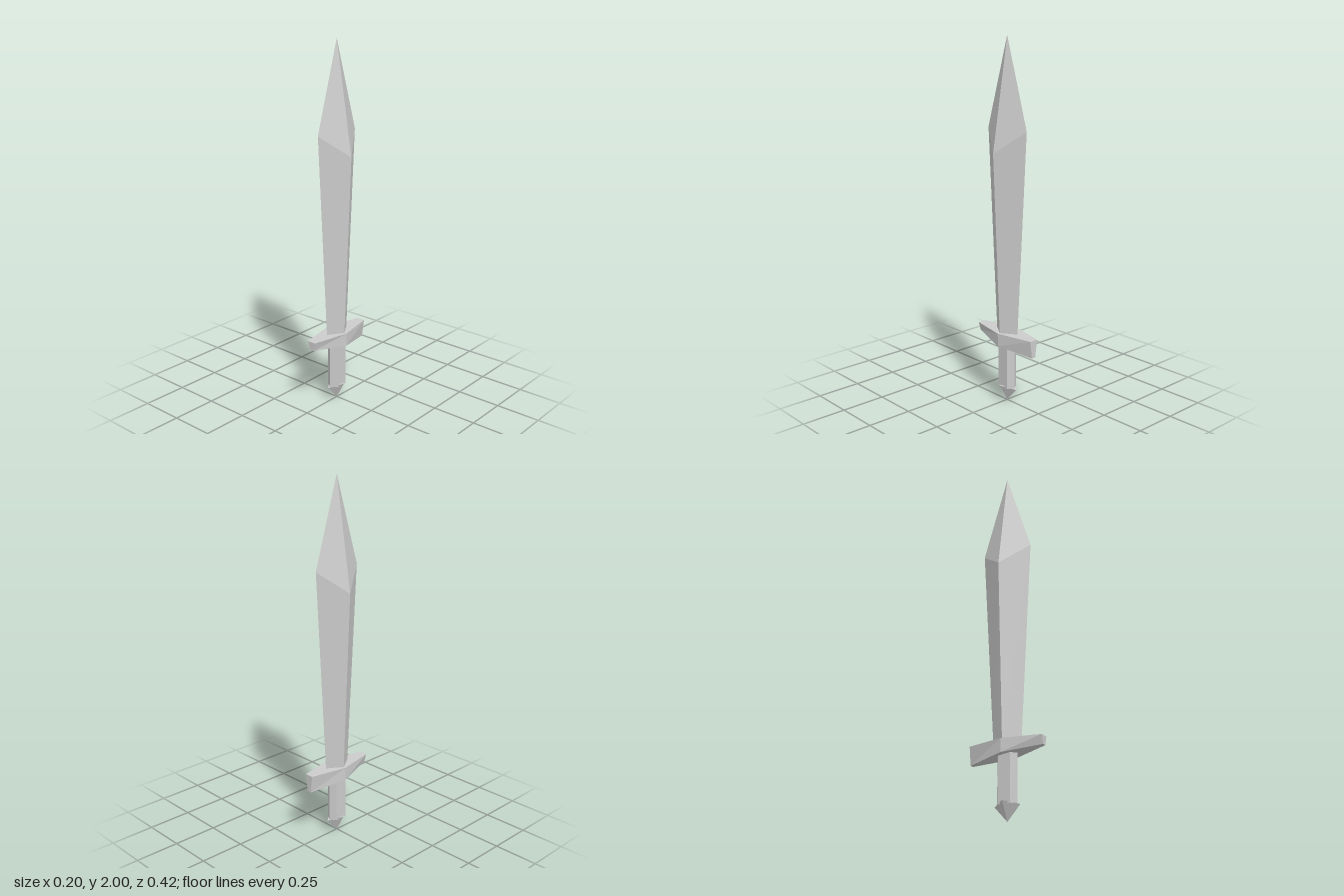
import * as THREE from 'three';

const material = new THREE.MeshStandardMaterial({ color: 0xcccccc, flatShading: true });

// Joins rings of [x, y, z] points (bottom to top, counter-clockwise from above) and caps both ends.
// A ring holding one point is a tip.
function loft(name, rings) {
  const pos = [];
  const tri = (a, b, c) => pos.push(...a, ...b, ...c);
  const n = Math.max(...rings.map((r) => r.length));
  const at = (ring, i) => ring[i % ring.length];
  for (let k = 0; k < rings.length - 1; k++) {
    const [lo, hi] = [rings[k], rings[k + 1]];
    for (let i = 0; i < n; i++) {
      if (lo.length > 1) tri(at(lo, i), at(lo, i + 1), at(hi, i + 1));
      if (hi.length > 1) tri(at(lo, i), at(hi, i + 1), at(hi, i));
      else if (lo.length === 1) continue;
    }
  }
  const [first, last] = [rings[0], rings[rings.length - 1]];
  for (let i = 1; i < n - 1; i++) {
    if (first.length > 1) tri(first[0], first[i + 1], first[i]);
    if (last.length > 1) tri(last[0], last[i], last[i + 1]);
  }
  const geometry = new THREE.BufferGeometry();
  geometry.setAttribute('position', new THREE.Float32BufferAttribute(pos, 3));
  geometry.computeVertexNormals();
  const mesh = new THREE.Mesh(geometry, material);
  mesh.name = name;
  return mesh;
}

// Four-cornered ring whose side corners and front/back corners can sit at different heights
const diamond = (x, z, ySide, yFront) => [
  [0, yFront, z], [x, ySide, 0], [0, yFront, -z], [-x, ySide, 0],
];

export function createModel() {
  const sword = new THREE.Group();
  sword.name = 'sword';

  // Blade flares to a shoulder, then narrows to the point
  sword.add(loft('blade', [
    diamond(0.055, 0.082, 0.4, 0.4),
    diamond(0.099, 0.147, 1.4, 1.52),
    [[0, 2, 0]],
  ]));

  // Crossguard: flat top, slanted underside, ends narrowing downwards
  const guardRing = (xEnd, yFront, yBack) => {
    const yMid = (yFront + yBack) / 2;
    return [
      [-xEnd, yFront, 0.209], [xEnd, yFront, 0.209], [0.07, yMid, 0],
      [xEnd, yBack, -0.209], [-xEnd, yBack, -0.209], [-0.07, yMid, 0],
    ];
  };
  sword.add(loft('crossguard', [guardRing(0.012, 0.36, 0.31), guardRing(0.025, 0.408, 0.408)]));

  // Six-sided grip
  const gripRing = (y) => [
    [0, y, 0.058], [0.035, y, 0.035], [0.035, y, -0.035],
    [0, y, -0.058], [-0.035, y, -0.035], [-0.035, y, 0.035],
  ];
  sword.add(loft('grip', [gripRing(0.083), gripRing(0.36)]));

  // Pommel: pointed below, its rim raised at the sides
  sword.add(loft('pommel', [[[0, 0, 0]], diamond(0.053, 0.073, 0.098, 0.08), [[0, 0.09, 0]]]));

  return sword;
}
